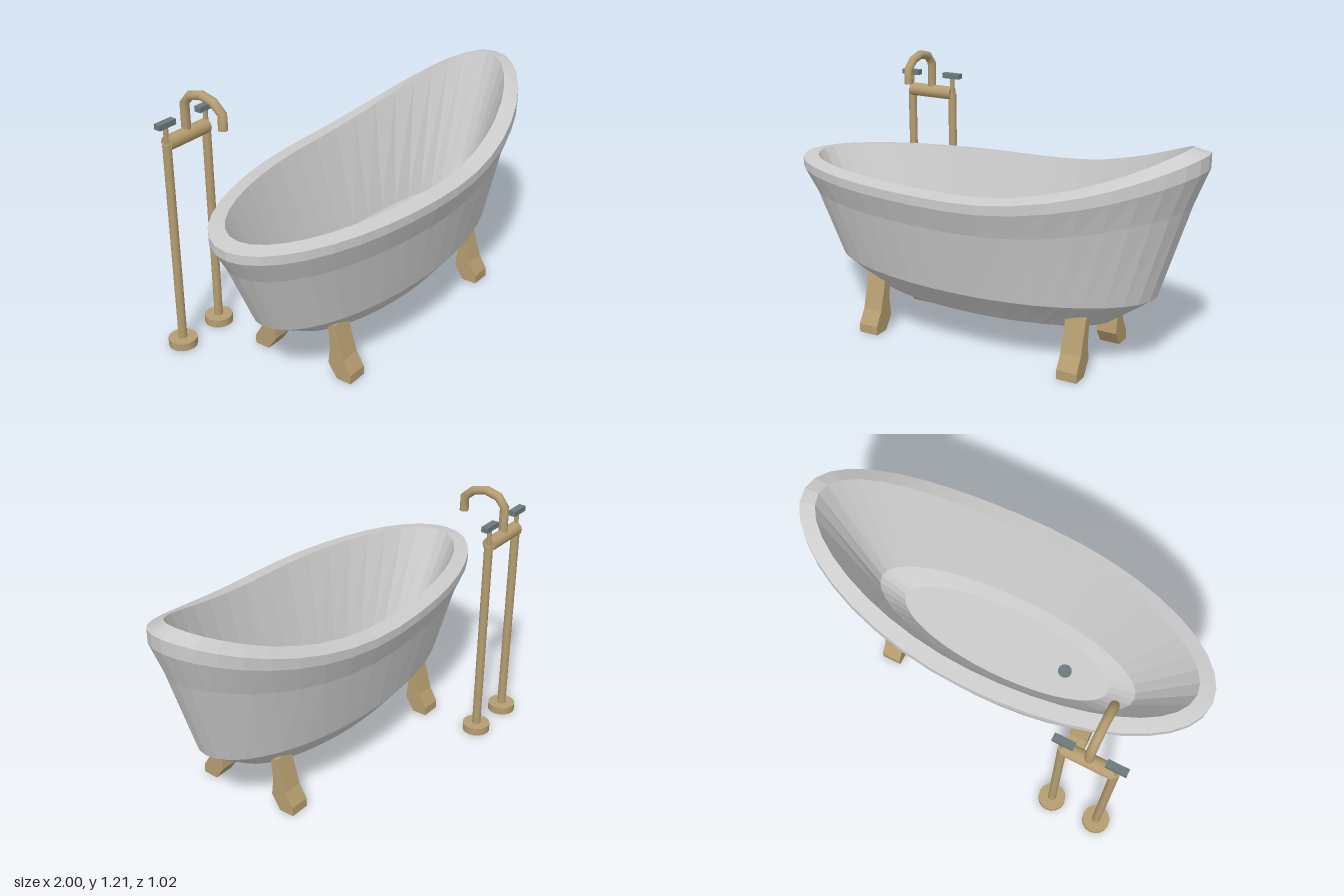
import * as THREE from 'three';

const TUB_Z = 0.085, TAP_Z = -0.443;

const mat = (color, extra = {}) => new THREE.MeshStandardMaterial({ color, ...extra });
const enamel = mat(0xcccccc, { flatShading: true });
const brass = mat(0xb59d70);
const brassFlat = mat(0xb59d70, { flatShading: true });
const steel = mat(0x6b7a7c);

function add(parent, name, geometry, material, x = 0, y = 0, z = 0) {
  const mesh = new THREE.Mesh(geometry, material);
  mesh.name = name;
  mesh.position.set(x, y, z);
  parent.add(mesh);
  return mesh;
}

// Closed shell of elliptical rings [rx, rz, y]; the +x end sweeps upward with height
function tubGeometry() {
  const rings = [
    [0, 0, 0.2], [0.6, 0.225, 0.2], [0.8, 0.32, 0.32], [0.935, 0.385, 0.62],
    [1, 0.425, 0.727], [1, 0.425, 0.768], [0.925, 0.35, 0.78],
    [0.68, 0.212, 0.33], [0.55, 0.17, 0.26], [0, 0, 0.26],
  ];
  const n = 40, pos = [], index = [];
  for (const [rx, rz, y] of rings) {
    const lift = 0.232 * Math.pow((y - 0.2) / 0.57, 1.5) * (rx > 0.6 ? 1 : 0);
    for (let j = 0; j < n; j++) {
      const t = (j / n) * Math.PI * 2, c = Math.cos(t);
      pos.push(rx * c, y + lift * Math.max(0, c) ** 2, rz * Math.sin(t));
    }
  }
  for (let i = 0; i < rings.length - 1; i++) {
    for (let j = 0; j < n; j++) {
      const a = i * n + j, b = i * n + (j + 1) % n, c = a + n, d = b + n;
      if (rings[i][0] > 0) index.push(a, c, b);
      if (rings[i + 1][0] > 0) index.push(b, c, d);
    }
  }
  const g = new THREE.BufferGeometry();
  g.setAttribute('position', new THREE.Float32BufferAttribute(pos, 3));
  g.setIndex(index);
  g.computeVertexNormals();
  return g;
}

// Side profile of a leg (distance from tub centre line, height), extruded across x
function legGeometry() {
  const profile = [
    [0.267, 0], [0.193, 0], [0.148, 0.067], [0.158, 0.148], [0.148, 0.25],
    [0.165, 0.264], [0.183, 0.264], [0.228, 0.106], [0.267, 0.042],
  ];
  const shape = new THREE.Shape(profile.map(([z, y]) => new THREE.Vector2(z, y)));
  const g = new THREE.ExtrudeGeometry(shape, { depth: 0.096, bevelEnabled: false });
  g.translate(0, 0, -0.048);
  g.rotateY(-Math.PI / 2);
  return g;
}

// Polyline curve keeping its corners for the faceted spout
class Polyline extends THREE.Curve {
  constructor(points) { super(); this.points = points; }
  getPoint(t, target = new THREE.Vector3()) {
    const f = t * (this.points.length - 1);
    const i = Math.min(Math.floor(f), this.points.length - 2);
    return target.lerpVectors(this.points[i], this.points[i + 1], f - i);
  }
  getPointAt(t, target) { return this.getPoint(t, target); }
  getTangentAt(t, target) { return this.getTangent(t, target); }
}

export function createModel() {
  const model = new THREE.Group();

  const tub = new THREE.Group();
  tub.name = 'bathtub';
  tub.position.z = TUB_Z;
  model.add(tub);
  add(tub, 'tubShell', tubGeometry(), enamel);
  add(tub, 'drain', new THREE.CylinderGeometry(0.033, 0.033, 0.012, 16), steel, -0.32, 0.262, 0);

  const leg = legGeometry();
  for (const x of [-0.512, 0.512]) {
    add(tub, 'frontLeg', leg, brassFlat, x);
    add(tub, 'backLeg', leg, brassFlat, x).rotation.y = Math.PI;
  }

  // Freestanding tap
  const tap = new THREE.Group();
  tap.name = 'tap';
  tap.position.set(-0.642, 0, TAP_Z);
  model.add(tap);
  for (const x of [-0.118, 0.118]) {
    add(tap, 'standBase', new THREE.CylinderGeometry(0.065, 0.065, 0.037, 16), brass, x, 0.0185, 0);
    add(tap, 'supplyPipe', new THREE.CylinderGeometry(0.02, 0.02, 0.99, 12), brass, x, 0.495, 0);
    add(tap, 'valveStem', new THREE.CylinderGeometry(0.011, 0.011, 0.1, 8), brass, x, 1.025, 0);
    add(tap, 'handle', new THREE.BoxGeometry(0.094, 0.025, 0.033), steel, x, 1.08, 0);
  }
  const bar = add(tap, 'mixerBar', new THREE.CylinderGeometry(0.033, 0.033, 0.236, 12), brass, 0, 0.992, 0);
  bar.rotation.z = Math.PI / 2;

  // Gooseneck spout, reaching forward over the rim
  const path = [
    [0, 1], [0, 1.135], [0.036, 1.177], [0.1, 1.193], [0.165, 1.177], [0.212, 1.135], [0.212, 1.066],
  ].map(([z, y]) => new THREE.Vector3(0, y, z));
  add(tap, 'spout', new THREE.TubeGeometry(new Polyline(path), path.length - 1, 0.021, 10), brass);
  add(tap, 'spoutEnd', new THREE.CircleGeometry(0.021, 10), brass, 0, 1.066, 0.212).rotation.x = Math.PI / 2;

  return model;
}
